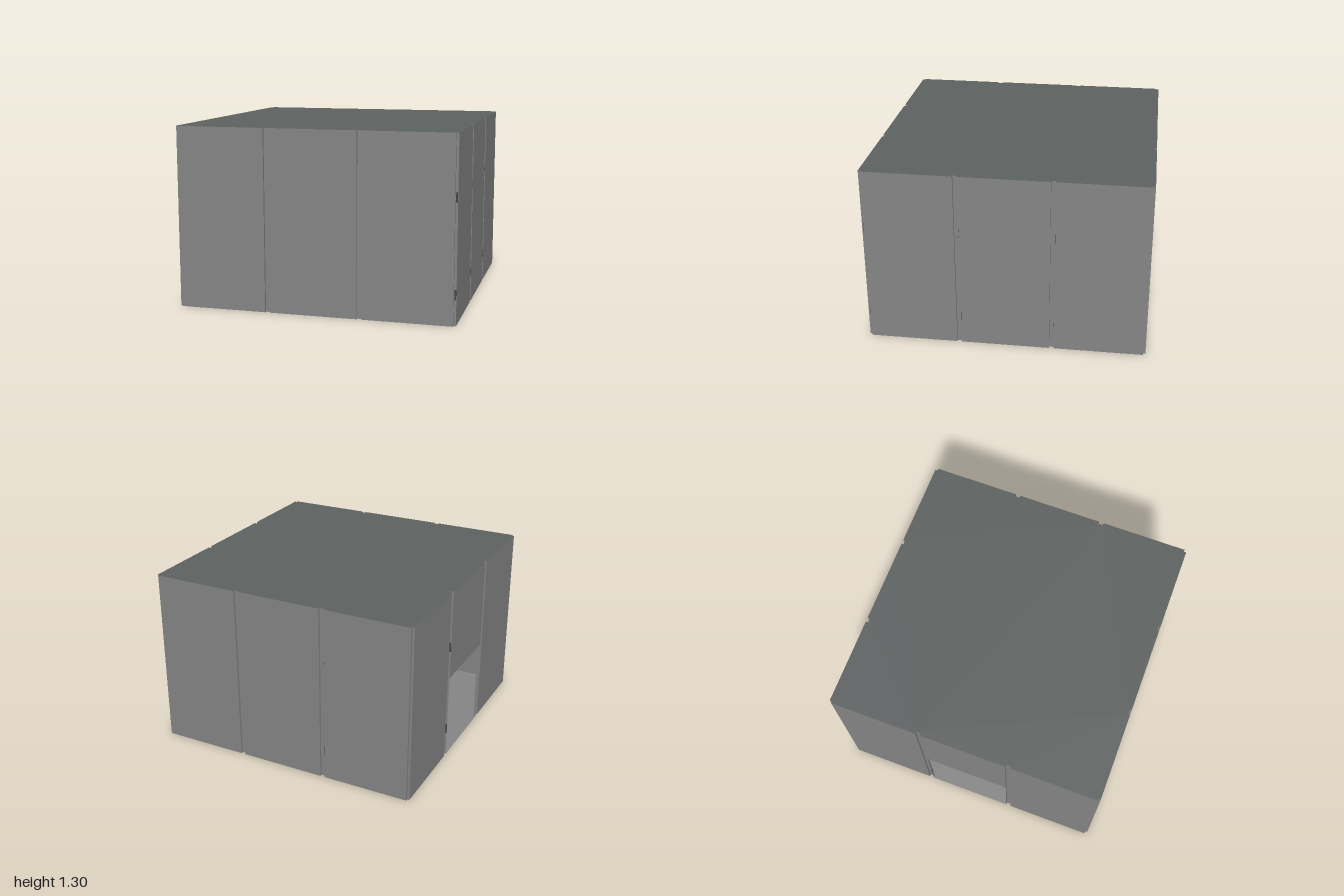
import * as THREE from 'three';

const HEIGHT = 1.3;
const GROOVE = 0.017;   // depth of the grooves and corner notches
const DOOR_TOP = 0.63;

const flat = (name, color) => {
  const m = new THREE.MeshStandardMaterial({ color, side: THREE.DoubleSide });
  m.name = name;
  return m;
};

// Plan of one wall: [position along the wall, distance from the centre]
const IN = 1 - GROOVE;
const PLAN = [
  [-IN, IN], [-IN, 1], [-0.35, 1], [-0.35, IN], [-0.315, IN], [-0.315, 1],
  [0.315, 1], [0.315, IN], [0.35, IN], [0.35, 1], [IN, 1], [IN, IN],
];
const PANEL_STARTS = [-IN, -0.315, 0.35];

export function createModel() {
  const root = new THREE.Group();
  root.name = 'panelRoom';
  const wallGray = flat('wall gray', 0x858585);
  const roofGray = flat('roof gray green', 0x5e6261);
  const hingeGray = flat('hinge dark gray', 0x404040);

  const add = (parent, geometry, material, name) => {
    const mesh = new THREE.Mesh(geometry, material);
    mesh.name = name;
    parent.add(mesh);
    return mesh;
  };

  // Upright sheet between two plan points
  const sheet = (parent, [x0, z0], [x1, z1], bottom, name) => {
    const g = new THREE.PlaneGeometry(Math.hypot(x1 - x0, z1 - z0), HEIGHT - bottom);
    const mesh = add(parent, g, wallGray, name);
    mesh.position.set((x0 + x1) / 2, (HEIGHT + bottom) / 2, (z0 + z1) / 2);
    mesh.rotation.y = -Math.atan2(z1 - z0, x1 - x0);
  };

  // Four walls: front, left (+x), back, right (-x, with the doorway)
  const names = ['frontWall', 'leftWall', 'backWall', 'rightWall'];
  const hingedPanels = [[], [0, 1, 2], [2], [1]];
  names.forEach((name, k) => {
    const wall = new THREE.Group();
    wall.name = name;
    wall.rotation.y = k * Math.PI / 2;
    root.add(wall);

    for (let i = 0; i < PLAN.length - 1; i++) {
      const isPanel = PLAN[i][1] === 1 && PLAN[i + 1][1] === 1;
      const isDoorway = k === 3 && i === 5;
      sheet(wall, PLAN[i], PLAN[i + 1], isDoorway ? DOOR_TOP : 0,
        isDoorway ? 'doorLintel' : isPanel ? 'wallPanel' : 'groove');
    }

    // Hinge plates on the panel edges
    for (const p of hingedPanels[k]) {
      for (const y of [0.215, 0.875]) {
        const hinge = add(wall, new THREE.BoxGeometry(0.003, 0.07, 0.012), hingeGray, 'hinge');
        hinge.position.set(PANEL_STARTS[p] - 0.0015, y, 1 - 0.0075);
      }
    }
  });

  // Floor and roof follow the notched wall outline
  const outline = [];
  for (let k = 0; k < 4; k++) {
    const c = Math.round(Math.cos(k * Math.PI / 2)), s = Math.round(Math.sin(k * Math.PI / 2));
    // the last point of each wall is the first of the next
    for (const [t, d] of PLAN.slice(0, -1)) {
      outline.push(new THREE.Vector2(t * c + d * s, t * s - d * c));
    }
  }
  const slab = new THREE.ShapeGeometry(new THREE.Shape(outline)).rotateX(-Math.PI / 2);
  add(root, slab, wallGray, 'floor');
  add(root, slab, roofGray, 'roof').position.y = HEIGHT;

  return root;
}
